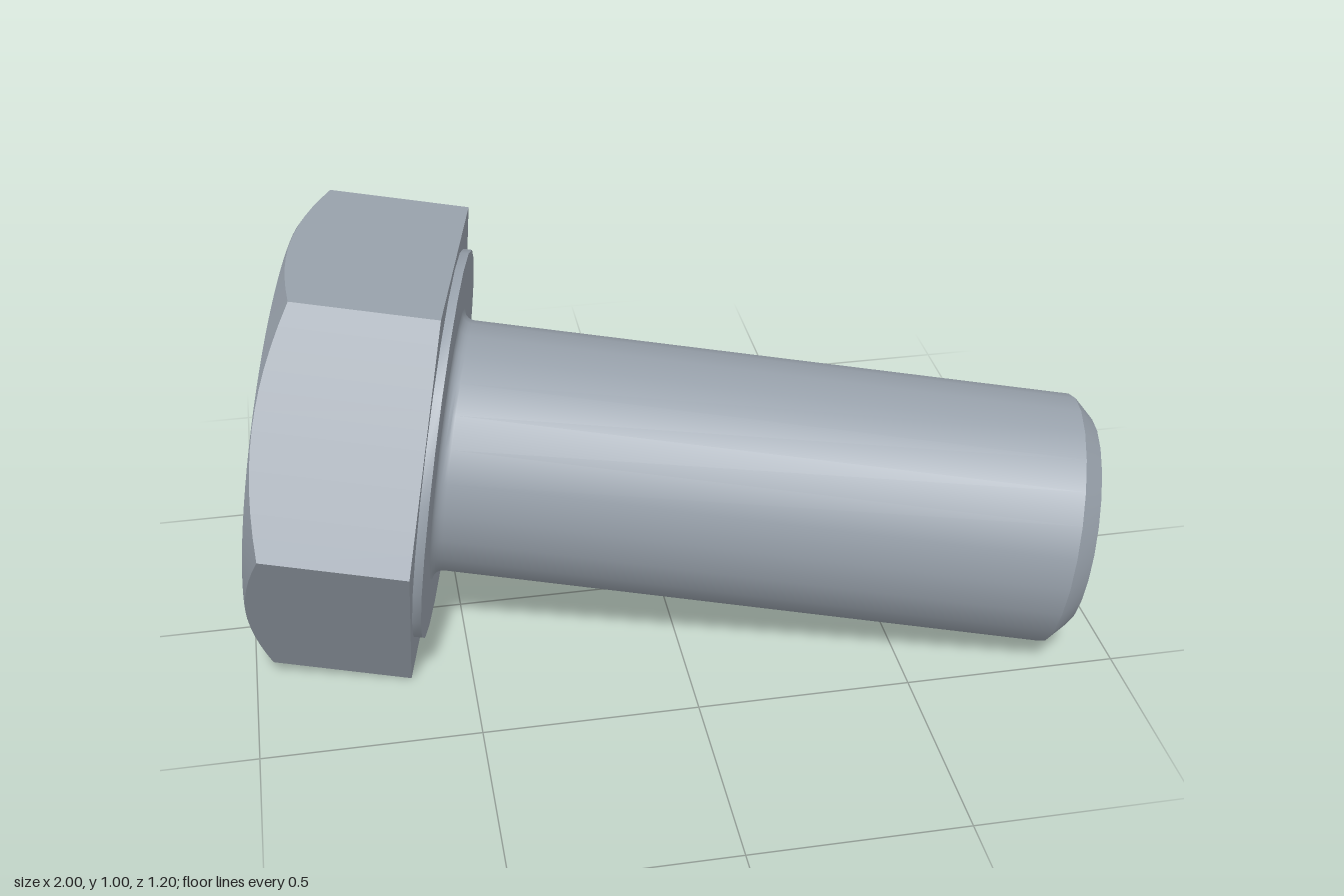
import * as THREE from 'three';
import { toCreasedNormals } from 'three/addons/utils/BufferGeometryUtils.js';

const SIDES = 24;
const APOTHEM = 0.4825;   // half the width across the head flats
const HEAD = 0.37;        // head thickness
const SHANK_R = 0.296, COLLAR_R = 0.459, COLLAR_H = 0.02, LENGTH = 1.51;

const lathe = (pts, sides) =>
  new THREE.LatheGeometry(pts.map(([r, y]) => new THREE.Vector2(r, y)), sides);

// Hexagonal head: a lathe pushed out to a hexagon, its outer rim cut by a 30 degree cone
function headGeometry() {
  const topR = APOTHEM * 0.992;
  const geo = lathe([[0, -HEAD], [topR, -HEAD], [2, -HEAD], [2, 0], [0, 0]], 72);
  const p = geo.attributes.position;
  for (let i = 0; i < p.count; i++) {
    const x = p.getX(i), z = p.getZ(i), y = p.getY(i);
    if (Math.hypot(x, z) < 1) continue;
    const a = Math.atan2(x, z), sector = Math.PI / 3;
    const off = a - Math.floor(a / sector + 1e-6) * sector - sector / 2;
    const r = APOTHEM / Math.cos(off);
    const drop = (r - topR) * Math.tan(Math.PI / 6);
    p.setXYZ(i, Math.sin(a) * r, y < -0.1 ? y + drop : 0, Math.cos(a) * r);
  }
  return toCreasedNormals(geo, 0.4);
}

// Shank with a small root fillet and a chamfered tip
function shankGeometry() {
  const f = 0.025, pts = [];
  for (let i = 0; i <= 5; i++) {
    const t = (i / 5) * Math.PI / 2;
    pts.push([SHANK_R + f * (1 - Math.sin(t)), COLLAR_H + f * (1 - Math.cos(t))]);
  }
  pts.push([SHANK_R, LENGTH - 0.048], [0.25, LENGTH], [0, LENGTH]);
  return toCreasedNormals(lathe(pts, SIDES), 0.5);
}

export function createModel() {
  const steel = new THREE.MeshStandardMaterial({ color: 0x98a1ab });
  steel.name = 'steel';

  const bolt = new THREE.Group();
  bolt.name = 'bolt';
  const add = (name, geo) => {
    const mesh = new THREE.Mesh(geo, steel);
    mesh.name = name;
    bolt.add(mesh);
  };

  add('hexHead', headGeometry());
  // Thin round bearing face under the head
  add('collar', toCreasedNormals(
    lathe([[COLLAR_R, 0], [COLLAR_R, COLLAR_H], [SHANK_R - 0.02, COLLAR_H]], SIDES), 0.5));
  add('shank', shankGeometry());

  // Lay the bolt on its head corner and shank tip
  const axis = new THREE.Vector3(0.9704, -0.125, 0.2067).normalize();
  const corner = new THREE.Vector3(-axis.z, 0, axis.x).normalize();
  const side = new THREE.Vector3().crossVectors(axis, corner);
  bolt.quaternion.setFromRotationMatrix(new THREE.Matrix4().makeBasis(side, axis, corner));
  bolt.position.set(-0.526, 0.479, 0.012);

  const model = new THREE.Group();
  model.name = 'hexBolt';
  model.add(bolt);
  return model;
}
